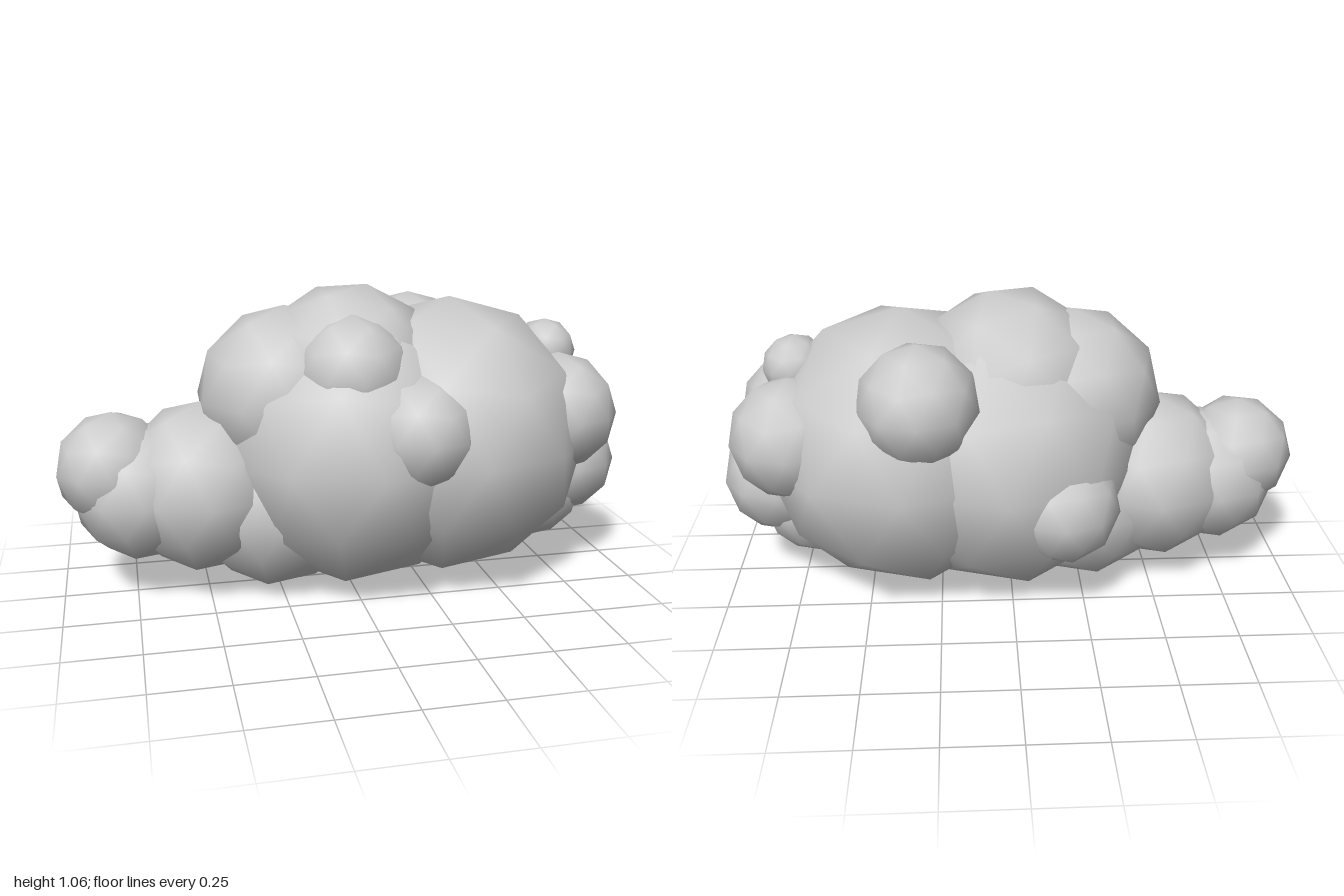
import * as THREE from 'three';

// Name, centre x, y, z, radius, and optional tilt about z in degrees
const puffs = [
  // main body
  ['frontBody', 0.37, 0.517, 0, 0.495],
  ['middleBody', 0.025, 0.5, 0, 0.495],
  ['rearBody', -0.26, 0.31, 0, 0.305],
  // humps on top
  ['topHump', 0, 0.72, 0, 0.35, -12],
  ['rearHump', -0.215, 0.69, 0, 0.31],
  // tapering tail
  ['tailBase', -0.505, 0.38, 0, 0.3],
  ['tailMiddle', -0.715, 0.375, 0, 0.24],
  ['tailTip', -0.81, 0.46, 0, 0.197],
  // cluster at the +x end
  ['frontCheek', 0.738, 0.608, 0.12, 0.212],
  ['backCheek', 0.738, 0.608, -0.145, 0.212],
  ['nosePuff', 0.805, 0.4, 0, 0.205],
  ['chinPuff', 0.69, 0.3, 0, 0.195],
  ['browPuff', 0.73, 0.808, 0, 0.112],
  // small bumps on the sides
  ['frontUpperBump', -0.02, 0.79, 0.19, 0.2],
  ['frontLowerBump', 0.18, 0.608, 0.31, 0.2],
  ['backUpperBump', 0.305, 0.785, -0.305, 0.204],
  ['backLowerBump', -0.16, 0.41, -0.29, 0.2],
];

export function createModel() {
  const group = new THREE.Group();
  group.name = 'cloud';
  const material = new THREE.MeshStandardMaterial({ color: 0xcccccc });

  // Smooth-shaded low-poly ball, turned so that one corner points straight up
  const ball = new THREE.IcosahedronGeometry(1, 1);
  ball.rotateZ(-Math.atan2(2, 1 + Math.sqrt(5)));

  for (const [name, x, y, z, radius, tilt = 0] of puffs) {
    const puff = new THREE.Mesh(ball, material);
    puff.name = name;
    puff.position.set(x, y, z);
    puff.scale.setScalar(radius);
    puff.rotation.z = THREE.MathUtils.degToRad(tilt);
    group.add(puff);
  }
  return group;
}
